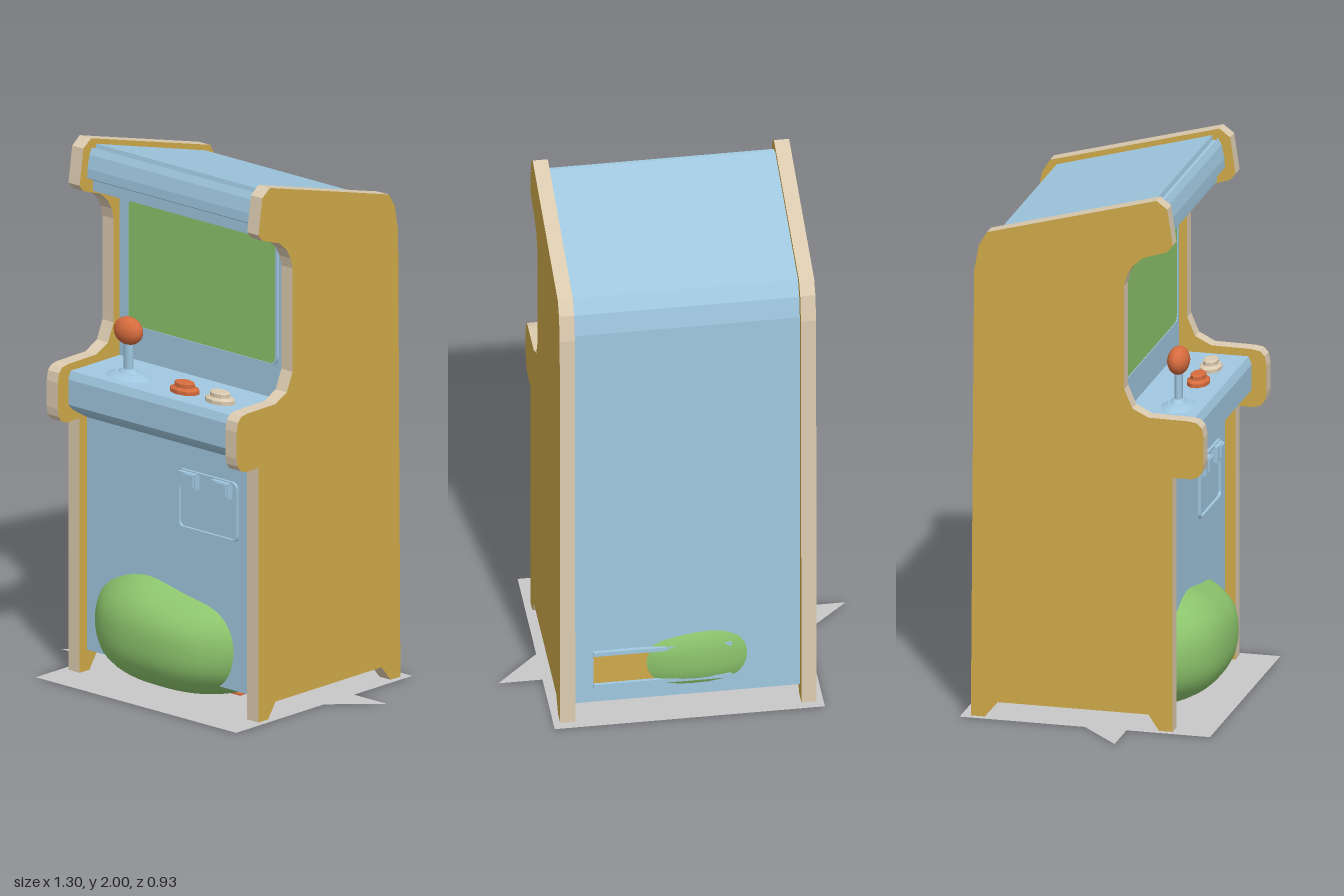
import * as THREE from 'three';

const mat = (name, color, side = THREE.FrontSide) => {
  const m = new THREE.MeshStandardMaterial({ color, side });
  m.name = name;
  return m;
};

export function createModel() {
  const blue = mat('cabinet blue', 0xa0c8e0);
  const ochre = mat('panel ochre', 0xd0aa4a);
  const beige = mat('trim beige', 0xdccbb0);
  const green = mat('green', 0x8cc46c);
  const orange = mat('orange', 0xd66c3e);
  const grey = mat('ground grey', 0xc8c8c8, THREE.DoubleSide);

  const model = new THREE.Group();
  model.name = 'arcadeCabinet';

  const add = (name, geo, material, x = 0, y = 0, z = 0) => {
    const mesh = new THREE.Mesh(geo, material);
    mesh.name = name;
    mesh.position.set(x, y, z);
    model.add(mesh);
    return mesh;
  };
  const outline = pts => new THREE.Shape(pts.map(p => new THREE.Vector2(...p)));
  // Extrude a (z, y) profile along x, centred on x = 0
  const profile = (pts, width) =>
    new THREE.ExtrudeGeometry(outline(pts), { depth: width, bevelEnabled: false })
      .translate(0, 0, -width / 2).rotateY(-Math.PI / 2);
  const roundRect = (w, h, r, Type = THREE.Shape) => {
    const s = new Type(), a = w / 2, b = h / 2;
    s.absarc(a - r, b - r, r, 0, Math.PI / 2);
    s.absarc(r - a, b - r, r, Math.PI / 2, Math.PI);
    s.absarc(r - a, r - b, r, Math.PI, 1.5 * Math.PI);
    s.absarc(a - r, r - b, r, 1.5 * Math.PI, 2 * Math.PI);
    s.closePath();
    return s;
  };
  const plate = (shape, depth) =>
    new THREE.ExtrudeGeometry(shape, { depth, bevelEnabled: false, curveSegments: 5 });

  // Side panels: ochre faces with beige edging
  const sidePts = [
    [0.32, 0], [0.32, 0.96], [0.39, 0.96], [0.415, 0.97], [0.43, 0.99], [0.435, 1.02],
    [0.435, 1.12], [0.428, 1.155], [0.41, 1.173], [0.38, 1.178], [0.23, 1.18], [0.17, 1.21],
    [0.14, 1.28], [0.14, 1.67], [0.15, 1.71], [0.17, 1.745], [0.21, 1.78], [0.30, 1.81],
    [0.32, 1.835], [0.30, 1.97], [0.26, 2.0], [-0.37, 1.83], [-0.40, 1.78], [-0.418, 1.68],
    [-0.43, 0], [-0.38, 0], [-0.33, 0.06], [0.23, 0.06], [0.27, 0],
  ];
  const sideGeo = profile(sidePts, 0.055);
  add('leftSidePanel', sideGeo, [ochre, beige], 0.4375);
  add('rightSidePanel', sideGeo, [ochre, beige], -0.4375);

  // Cabinet body between the side panels
  add('cabinetBody', profile([
    [0.28, 0.08], [0.28, 0.955], [0.355, 1.0], [0.38, 1.025], [0.38, 1.12], [0.368, 1.15],
    [0.11, 1.15], [0.11, 1.78], [0.25, 1.8], [0.25, 1.84], [0.28, 1.855], [0.279, 1.89],
    [0.268, 1.94], [0.255, 1.965], [0.25, 1.955], [0.236, 1.955], [0.232, 1.973],
    [-0.345, 1.815], [-0.375, 1.76], [-0.39, 1.68], [-0.397, 0.06],
  ], 0.82), blue);

  // Screen with a slim surround
  add('screen', plate(roundRect(0.72, 0.47, 0.03), 0.006), green, 0, 1.515, 0.11);
  const rim = roundRect(0.74, 0.49, 0.04);
  rim.holes.push(roundRect(0.72, 0.47, 0.03, THREE.Path));
  add('screenRim', plate(rim, 0.009), blue, 0, 1.515, 0.11);

  // Coin door: raised frame and two slots
  const frame = roundRect(0.29, 0.225, 0.025);
  frame.holes.push(roundRect(0.272, 0.207, 0.018, THREE.Path));
  add('coinDoorFrame', plate(frame, 0.01), blue, 0.185, 0.752, 0.28);
  for (const x of [0.1, 0.26]) {
    add('coinSlot', new THREE.BoxGeometry(0.08, 0.06, 0.03), blue, x, 0.83, 0.29);
    add('coinSlotLip', new THREE.BoxGeometry(0.05, 0.045, 0.012), blue, x + 0.01, 0.835, 0.306);
  }

  // Joystick
  const base = add('joystickBase', new THREE.CylinderGeometry(0.06, 0.1, 0.016, 8), blue, -0.213, 1.158, 0.275);
  base.scale.z = 0.64;
  const collar = add('joystickCollar', new THREE.CylinderGeometry(0.03, 0.05, 0.016, 10), blue, -0.213, 1.172, 0.275);
  collar.scale.z = 0.64;
  const stick = add('joystickStick', new THREE.CylinderGeometry(0.021, 0.021, 0.13, 10), blue, -0.213, 1.22, 0.275);
  stick.scale.z = 0.7;
  const ball = add('joystickBall', new THREE.SphereGeometry(1, 16, 12), orange, -0.213, 1.322, 0.275);
  ball.scale.set(0.063, 0.052, 0.04);

  // Push buttons: stepped collar and cap
  const buttonGeo = new THREE.LatheGeometry([
    [0.064, 0], [0.064, 0.014], [0.048, 0.022], [0.044, 0.022], [0.044, 0.036], [0.036, 0.04], [0, 0.04],
  ].map(p => new THREE.Vector2(...p)), 10).toNonIndexed();
  buttonGeo.computeVertexNormals();
  [[0.062, orange], [0.235, beige]].forEach(([x, m]) => {
    add('button', buttonGeo, m, x, 1.15, 0.275).scale.z = 0.64;
  });

  // Rounded blob passing through the lower cabinet, flattened underneath
  const blobGeo = new THREE.SphereGeometry(1, 48, 32);
  const pos = blobGeo.attributes.position, v = new THREE.Vector3(), n = 2.6;
  for (let i = 0; i < pos.count; i++) {
    v.fromBufferAttribute(pos, i);
    const k = (Math.abs(v.x) ** n + Math.abs(v.y) ** n + Math.abs(v.z) ** n) ** (-1 / n);
    v.multiplyScalar(k);
    const tilt = v.y > 0 ? 1 - 0.13 * v.x - 0.05 * Math.cos(v.x * 6 - 1.8) : 1;
    const taper = 1 - 0.06 * Math.max(0, -v.y);
    const y = 0.215 + v.y * 0.23 * tilt;
    pos.setXYZ(i, v.x * 0.395 * taper - 0.03, Math.max(0.006, y), v.z * 0.422);
  }
  blobGeo.computeVertexNormals();
  add('blob', blobGeo, green);

  // Wedge under the cabinet
  add('underWedge', profile([
    [0.13, 0], [0.13, 0.008], [-0.13, 0.045], [-0.13, 0],
  ], 0.4), orange);

  // Rear opening with ribs above and below
  add('rearVent', new THREE.BoxGeometry(0.5, 0.13, 0.008), ochre, 0.09, 0.205, -0.396);
  for (const y of [0.135, 0.275])
    add('rearVentRib', new THREE.BoxGeometry(0.5, 0.016, 0.022), blue, 0.09, y, -0.4);

  // Ground sheet with a pointed tab on each side
  add('groundSheet', new THREE.ShapeGeometry(outline([
    [-0.49, -0.465], [0.49, -0.465], [0.49, 0], [0.65, 0.158], [0.49, 0.158], [0.49, 0.465],
    [-0.49, 0.465], [-0.49, 0], [-0.655, -0.155], [-0.49, -0.155],
  ])).rotateX(-Math.PI / 2), grey, 0, 0.002, 0);

  return model;
}
